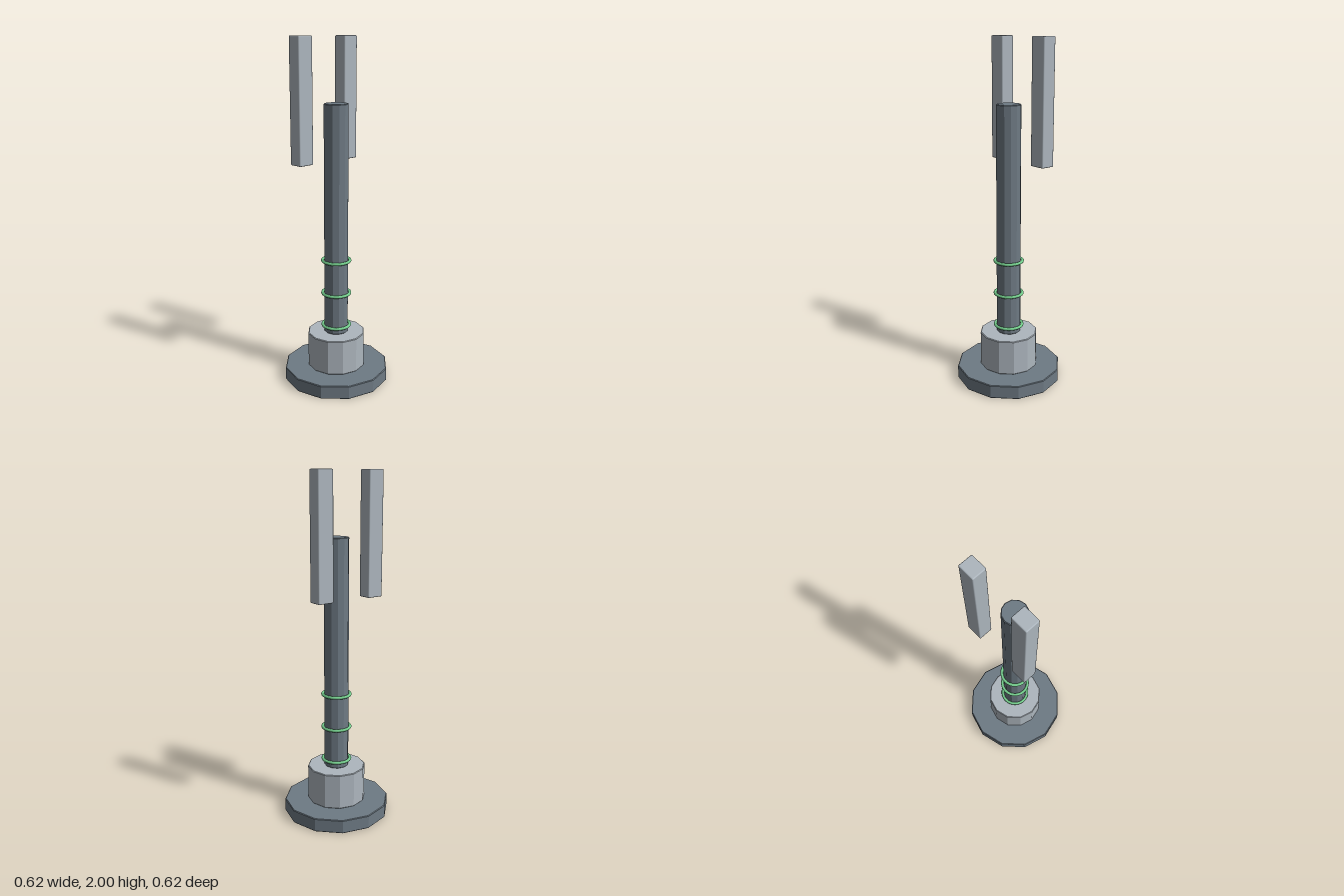
import * as THREE from 'three';
import { RoundedBoxGeometry } from 'three/addons/geometries/RoundedBoxGeometry.js';

const material = (name, color) => {
  const m = new THREE.MeshStandardMaterial({ color });
  m.name = name;
  return m;
};

export function createModel() {
  const slate = material('slate', 0x6e7a84);
  const lightGrey = material('lightGrey', 0xadb6be);
  const green = material('green', 0x74cc8c);
  const group = new THREE.Group();

  const add = (name, geometry, mat, x, y, z) => {
    const mesh = new THREE.Mesh(geometry, mat);
    mesh.name = name;
    mesh.position.set(x, y, z);
    group.add(mesh);
    return mesh;
  };

  // Faceted drum with finely bevelled rims, standing on y = 0
  const drum = (radius, height, bevel = 0.004) => {
    const profile = [
      [0, 0], [radius - bevel, 0], [radius, bevel],
      [radius, height - bevel], [radius - bevel, height], [0, height],
    ].map(([r, y]) => new THREE.Vector2(r, y));
    const geometry = new THREE.LatheGeometry(profile, 12).toNonIndexed();
    geometry.computeVertexNormals();
    return geometry;
  };

  // Stand and upright column
  add('base', drum(0.31, 0.08), slate, 0, 0, 0);
  add('collar', drum(0.17, 0.21), lightGrey, 0, 0.08, 0);
  add('column', drum(0.071, 1.35), slate, 0, 0.29, 0);

  // Green bands around the lower column
  for (const y of [0.33, 0.532, 0.733]) {
    const ring = add('ring', new THREE.TorusGeometry(0.08, 0.009, 10, 40), green, 0, y, 0);
    ring.rotation.x = Math.PI / 2;
  }

  // Pair of floating upright bars beside the top of the column
  for (const side of [1, -1]) {
    add(side > 0 ? 'frontBar' : 'backBar',
      new RoundedBoxGeometry(0.082, 0.695, 0.097, 2, 0.006), lightGrey,
      -0.097, 1.6525, side * 0.169);
  }

  return group;
}
